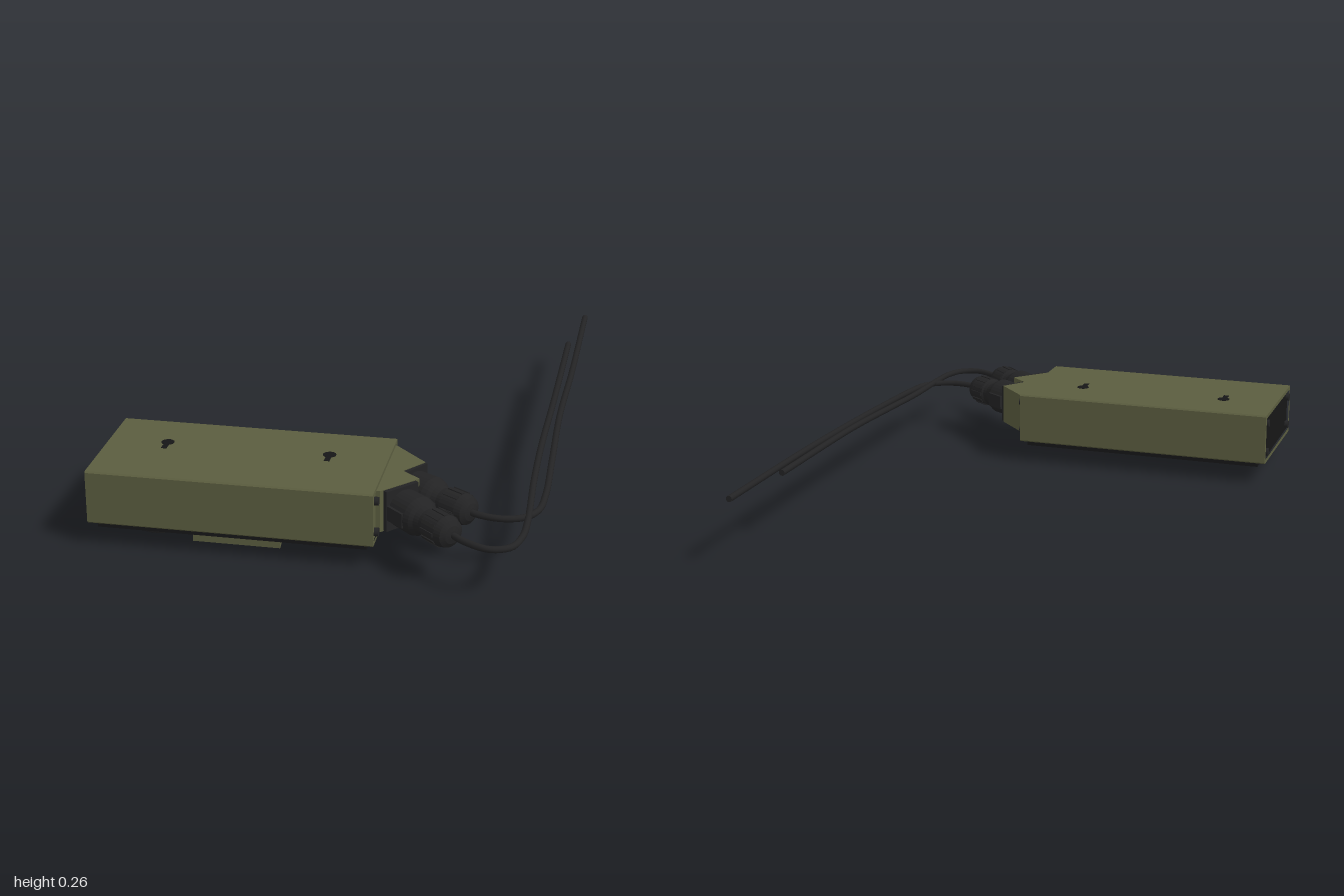
import * as THREE from 'three';

const mat = (name, color, side = THREE.FrontSide) => {
  const m = new THREE.MeshStandardMaterial({ color, side });
  m.name = name;
  return m;
};

export function createModel() {
  const olive = mat('olive paint', 0x5b5d3f);
  const lightOlive = mat('light olive', 0x74764c);
  const rubber = mat('black rubber', 0x232324, THREE.DoubleSide);
  const panel = mat('dark panel', 0x161617);
  const metal = mat('grey metal', 0x8c8c86);
  const root = new THREE.Group();

  const add = (name, geo, material, parent = root, x = 0, y = 0, z = 0) => {
    const mesh = new THREE.Mesh(geo, material);
    mesh.name = name;
    mesh.position.set(x, y, z);
    parent.add(mesh);
    return mesh;
  };
  // box from its minimum and maximum corners
  const box = (name, a, b, material) => add(name,
    new THREE.BoxGeometry(b[0] - a[0], b[1] - a[1], b[2] - a[2]), material, root,
    (a[0] + b[0]) / 2, (a[1] + b[1]) / 2, (a[2] + b[2]) / 2);
  const polygon = pts => new THREE.Shape(pts.map(p => new THREE.Vector2(...p)));
  // (z, y) outline extruded along x
  const alongX = (pts, length, hole) => {
    const shape = polygon(pts.map(([z, y]) => [-z, y]));
    if (hole) shape.holes.push(polygon(hole.map(([z, y]) => [-z, y])));
    return new THREE.ExtrudeGeometry(shape, { depth: length, bevelEnabled: false }).rotateY(Math.PI / 2);
  };
  // (x, z) outline extruded upwards
  const upwards = (shape, height) => new THREE.ExtrudeGeometry(shape,
    { depth: height, bevelEnabled: false, curveSegments: 16 }).rotateX(-Math.PI / 2);
  const chamfered = (z0, z1, y0, y1, c) => [
    [z0 + c, y0], [z1 - c, y0], [z1, y0 + c], [z1, y1 - c],
    [z1 - c, y1], [z0 + c, y1], [z0, y1 - c], [z0, y0 + c]];

  // housing sleeve with inset end panels
  add('housing', alongX(chamfered(0.393, 0.85, 0.08, 0.265, 0.005), 0.95,
    chamfered(0.408, 0.835, 0.094, 0.251, 0.004)), olive, root, -0.74);
  box('closedEndPanel', [-0.732, 0.092, 0.405], [-0.72, 0.253, 0.838], panel);
  box('connectorEndPanel', [0.195, 0.092, 0.405], [0.207, 0.253, 0.838], olive);
  for (const x of [-0.735, 0.212])
    for (const y of [0.118, 0.227])
      for (const z of [0.432, 0.812])
        add('endScrew', new THREE.CylinderGeometry(0.014, 0.014, 0.02, 16).rotateZ(Math.PI / 2), rubber, root, x, y, z);

  // keyhole mounting slots on the lid
  for (const x of [-0.54, 0.013]) {
    const key = new THREE.Shape();
    key.absarc(0, 0, 0.022, -1.13, Math.PI + 1.13, false);
    key.lineTo(-0.0095, -0.052);
    key.lineTo(0.0095, -0.052);
    add('keyholeSlot', upwards(key, 0.003), panel, root, x, 0.2635, 0.57);
  }

  // control plate on the underside
  box('controlPlate', [-0.71, 0.062, 0.412], [0.187, 0.082, 0.833], panel);
  for (const x of [-0.54, 0.015]) {
    const socket = new THREE.Group();
    socket.name = 'roundSocket';
    socket.position.set(x, 0.062, 0.665);
    root.add(socket);
    add('socketFlange', new THREE.CylinderGeometry(0.108, 0.108, 0.022, 40), rubber, socket, 0, -0.011, 0);
    const ring = [[0.1, -0.02], [0.1, -0.038], [0.094, -0.043], [0.078, -0.043], [0.074, -0.038], [0.074, -0.02]];
    add('socketRing', new THREE.LatheGeometry(ring.map(p => new THREE.Vector2(...p)), 40), rubber, socket);
    add('socketCore', new THREE.CylinderGeometry(0.055, 0.055, 0.012, 32), panel, socket, 0, -0.027, 0);
    for (let i = 0; i < 5; i++) {
      const a = i * Math.PI * 0.4;
      add('socketPin', new THREE.CylinderGeometry(0.004, 0.004, 0.006, 8), metal, socket,
        0.032 * Math.cos(a), -0.034, 0.032 * Math.sin(a));
    }
    for (const sx of [-1, 1])
      add('flangeScrew', new THREE.CylinderGeometry(0.012, 0.012, 0.008, 12), rubber, socket, sx * 0.073, -0.022, sx * 0.073);
  }

  // sloped hood between the sockets, with a pin field on its slope
  add('hood', alongX([[0.76, 0.064], [0.575, 0.064], [0.76, 0.002]], 0.295), olive, root, -0.41);
  const field = new THREE.Group();
  field.name = 'pinField';
  field.position.set(-0.2625, 0.0385, 0.651);
  field.rotation.x = Math.atan2(0.062, 0.185);
  root.add(field);
  add('pinPanel', new THREE.BoxGeometry(0.24, 0.006, 0.11), panel, field);
  for (let r = 0; r < 3; r++)
    for (let c = 0; c < 8; c++)
      add('pin', new THREE.BoxGeometry(0.006, 0.006, 0.006), metal, field, -0.091 + c * 0.026, -0.004, -0.03 + r * 0.03);

  // small display window behind the hood
  box('displayFrame', [-0.34, 0.052, 0.46], [-0.185, 0.064, 0.54], lightOlive);
  box('displayWindow', [-0.325, 0.05, 0.474], [-0.2, 0.053, 0.526], olive);
  box('displayBar', [-0.305, 0.048, 0.492], [-0.22, 0.051, 0.508], panel);

  // angled block that carries the two plugs
  add('connectorBlock', upwards(polygon([[0.2, -0.42], [0.21, -0.42], [0.328, -0.54], [0.268, -0.62],
    [0.33, -0.672], [0.222, -0.79], [0.2, -0.79]].reverse()), 0.145), olive, root, 0, 0.107, 0);

  const profile = [[0, 0], [0.056, 0], [0.056, 0.02], [0.064, 0.024], [0.066, 0.1], [0.06, 0.118], [0.05, 0.13],
    [0.045, 0.15], [0.047, 0.165], [0.053, 0.17], [0.053, 0.235], [0.046, 0.258], [0.03, 0.268], [0.014, 0.272], [0, 0.272]]
    .map(p => new THREE.Vector2(...p));
  const makePlug = (x, z, dx, dz) => {
    const plug = new THREE.Group();
    plug.name = 'cablePlug';
    plug.position.set(x, 0.18, z);
    plug.rotation.y = Math.atan2(dx, dz);
    root.add(plug);
    add('plugFlange', new THREE.BoxGeometry(0.13, 0.14, 0.02), rubber, plug, 0, 0, 0.006);
    const shell = new THREE.LatheGeometry(profile, 32).toNonIndexed().rotateX(Math.PI / 2);
    shell.computeVertexNormals();
    add('plugShell', shell, rubber, plug);
    for (let i = 0; i < 12; i++) {
      const a = i * Math.PI / 6;
      const rib = add('nutRib', new THREE.BoxGeometry(0.01, 0.012, 0.06), rubber, plug,
        0.051 * Math.cos(a), 0.051 * Math.sin(a), 0.203);
      rib.rotation.z = a;
    }
    for (const s of [-1, 1])
      add('lockTab', new THREE.BoxGeometry(0.012, 0.05, 0.075), rubber, plug, s * 0.063, 0, 0.06);
  };
  makePlug(0.286, 0.59, 0.82, 0.55);
  makePlug(0.275, 0.732, 0.74, 0.67);

  // trailing cables
  const cable = pts => {
    const curve = new THREE.CatmullRomCurve3(pts.map(p => new THREE.Vector3(...p)), false, 'centripetal');
    add('cable', new THREE.TubeGeometry(curve, 120, 0.011, 10), rubber);
    const end = pts[pts.length - 1];
    add('cableEnd', new THREE.CircleGeometry(0.011, 10).rotateY(Math.PI), rubber, root, ...end);
  };
  cable([[0.48, 0.18, 0.72], [0.53, 0.18, 0.752], [0.61, 0.18, 0.768], [0.68, 0.18, 0.745], [0.718, 0.182, 0.69],
    [0.73, 0.187, 0.58], [0.727, 0.203, 0.35], [0.72, 0.224, 0], [0.727, 0.232, -0.4], [0.728, 0.238, -1]]);
  cable([[0.455, 0.18, 0.895], [0.52, 0.178, 0.95], [0.6, 0.178, 0.985], [0.66, 0.178, 0.96], [0.687, 0.18, 0.89],
    [0.693, 0.183, 0.78], [0.683, 0.196, 0.5], [0.681, 0.212, 0.25], [0.687, 0.228, -0.1], [0.689, 0.236, -0.69]]);
  return root;
}
